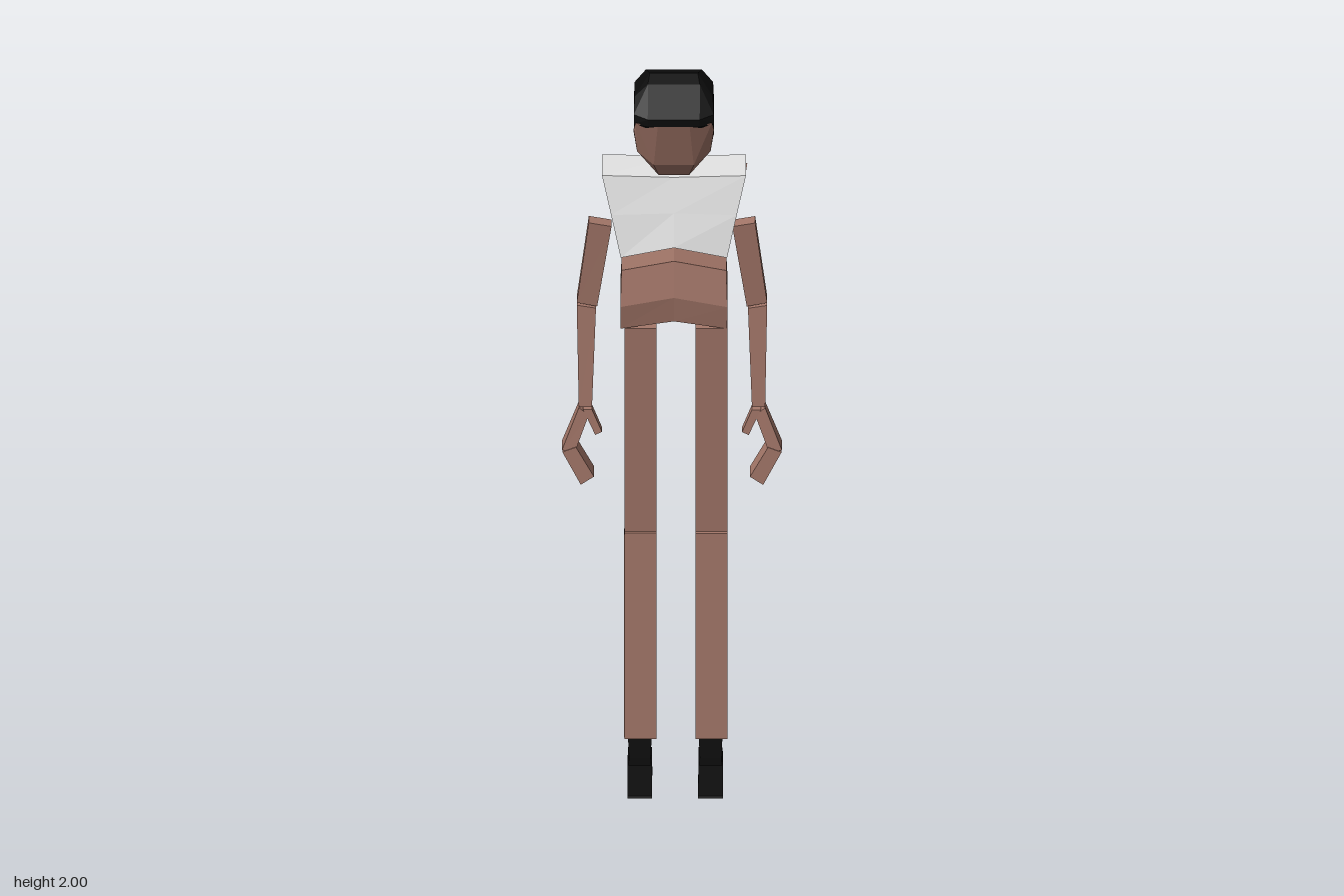
import * as THREE from 'three';
import { ConvexGeometry } from 'three/addons/geometries/ConvexGeometry.js';

const mat = (name, color) => {
  const m = new THREE.MeshStandardMaterial({ color });
  m.name = name;
  return m;
};

// Flat-faced loft through rings (bottom to top, counter-clockwise from above), capped at both ends
function loft(rings) {
  const pos = [];
  const tri = (a, b, c) => pos.push(...a, ...b, ...c);
  const n = rings[0].length;
  for (let r = 0; r < rings.length - 1; r++) {
    const a = rings[r], b = rings[r + 1];
    for (let i = 0; i < n; i++) {
      const j = (i + 1) % n;
      tri(a[i], a[j], b[j]);
      tri(a[i], b[j], b[i]);
    }
  }
  const lo = rings[0], hi = rings[rings.length - 1];
  for (let k = 2; k < n; k++) {
    const i = k % n, j = (k + 1) % n;
    tri(hi[1], hi[i], hi[j]);
    tri(lo[1], lo[j], lo[i]);
  }
  const g = new THREE.BufferGeometry();
  g.setAttribute('position', new THREE.Float32BufferAttribute(pos, 3));
  g.computeVertexNormals();
  return g;
}

// Four-cornered ring; yl and yr are the heights at x0 and x1
const rect = (x0, x1, z0, z1, yl, yr = yl) =>
  [[x0, yl, z1], [x1, yr, z1], [x1, yr, z0], [x0, yl, z0]];

// Six-cornered torso ring whose centre line is lifted by peak
const torsoRing = (w, zf, yf, zb, yb, peak, c = 0.005) => [
  [c - w, yf, zf], [c, yf + peak, zf], [c + w, yf, zf],
  [c + w, yb, zb], [c, yb + peak, zb], [c - w, yb, zb]];

// Mirrors rings across x and keeps their winding
const side = (s, rings) => s > 0 ? rings
  : rings.map(r => r.map(([x, y, z]) => [-x, y, z]).reverse());

export function createModel() {
  const model = new THREE.Group();
  const skin = mat('skin', 0xa5786a);
  const shirt = mat('shirt', 0xdcdcdc);
  const black = mat('black', 0x0b0b0b);
  const add = (name, geo, material, parent = model) => {
    const m = new THREE.Mesh(geo, material);
    m.name = name;
    parent.add(m);
    return m;
  };

  // Torso
  add('waist', loft([
    torsoRing(0.133, 0.028, 1.28, -0.125, 1.28, 0.02),
    torsoRing(0.134, 0.042, 1.345, -0.135, 1.345, 0.025),
    torsoRing(0.131, 0.03, 1.44, -0.127, 1.41, 0.025)]), skin);
  add('chest', loft([
    torsoRing(0.133, 0.033, 1.476, -0.127, 1.434, 0.027),
    torsoRing(0.157, 0.005, 1.58, -0.157, 1.587, 0.005),
    torsoRing(0.18, -0.025, 1.675, -0.147, 1.675, -0.005),
    torsoRing(0.18, -0.104, 1.697, -0.106, 1.697, -0.003)]), shirt);

  // Small patch of skin on the shoulder
  const patch = [[-0.074, 1.593], [-0.085, 1.582], [-0.106, 1.624], [-0.11, 1.672], [-0.09, 1.656]];
  const pts = [];
  for (const [z, y] of patch)
    for (const d of [-0.004, 0.004])
      pts.push(new THREE.Vector3(0.185 - (1.675 - y) * 0.23 + d, y, z));
  add('shoulderPatch', new ConvexGeometry(pts), skin);

  // Head: entries are half width, y, z
  const hull = list => new ConvexGeometry(list.flatMap(([w, y, z]) =>
    [-1, 1].map(s => new THREE.Vector3(0.005 + s * w, y, z))));
  const head = new THREE.Group();
  head.name = 'head';
  model.add(head);
  add('face', hull([
    [0.04, 1.9, 0.186], [0.095, 1.905, 0.174], [0.1005, 1.88, 0.155], [0.1005, 1.845, 0.09],
    [0.092, 1.81, 0.13], [0.087, 1.80, 0.05], [0.05, 1.775, 0.138], [0.038, 1.727, 0.09],
    [0.04, 1.75, 0.06], [0.06, 1.80, 0.02], [0.09, 1.9, 0.03]]), skin);
  add('hair', hull([
    [0.065, 1.9, 0.185], [0.065, 1.92, 0.186], [0.1, 1.9, 0.168], [0.1, 1.925, 0.165],
    [0.098, 1.955, 0.12], [0.065, 1.983, 0.11], [0.06, 1.999, 0.075], [0.098, 1.955, 0.03],
    [0.07, 1.978, 0.005], [0.09, 1.905, -0.032], [0.1, 1.9, 0], [0.1, 1.85, 0.12],
    [0.098, 1.815, 0.05], [0.08, 1.80, 0.015]]), black);

  for (const s of [-1, 1]) {
    const label = s > 0 ? 'left' : 'right';

    // Arm
    const arm = new THREE.Group();
    arm.name = label + 'Arm';
    model.add(arm);
    const limb = (name, rings) => add(name, loft(side(s, rings)), skin, arm);
    limb('upperArm', [
      rect(0.187, 0.238, -0.085, -0.042, 1.31, 1.32),
      rect(0.151, 0.208, -0.058, -0.015, 1.54, 1.55)]);
    limb('forearm', [
      rect(0.2, 0.233, -0.078, -0.037, 1.037),
      rect(0.19, 0.238, -0.085, -0.042, 1.305, 1.313)]);
    limb('palm', [
      rect(0.243, 0.275, -0.092, -0.032, 0.915, 0.922),
      rect(0.208, 0.233, -0.078, -0.037, 1.015, 1.035)]);
    limb('fingers', [
      rect(0.195, 0.228, -0.095, -0.03, 0.85, 0.828),
      rect(0.24, 0.274, -0.095, -0.03, 0.93, 0.917)]);
    limb('thumb', [
      rect(0.175, 0.192, -0.065, -0.035, 0.97, 0.962),
      rect(0.2, 0.222, -0.07, -0.037, 1.03)]);

    // Leg
    const c = 0.01 + s * 0.0885;
    const leg = new THREE.Group();
    leg.name = label + 'Leg';
    model.add(leg);
    add('thigh', loft([
      rect(c - 0.04, c + 0.04, -0.153, -0.027, 0.7),
      rect(c - 0.04, c + 0.04, -0.127, 0.027, 1.28)]), skin, leg);
    add('shin', loft([
      rect(c - 0.04, c + 0.04, -0.185, -0.038, 0.13),
      rect(c - 0.04, c + 0.04, -0.153, -0.036, 0.693)]), skin, leg);

    // Boot: wedge-shaped foot and ankle
    const b = 0.008 + s * 0.0885;
    add('foot', loft([
      rect(b - 0.031, b + 0.031, -0.148, 0.036, 0),
      [[b - 0.031, 0.006, 0.034], [b + 0.031, 0.006, 0.034],
        [b + 0.03, 0.06, -0.146], [b - 0.03, 0.06, -0.146]]]), black, leg);
    add('ankle', loft([
      rect(b - 0.03, b + 0.03, -0.147, -0.077, 0.02),
      rect(b - 0.027, b + 0.027, -0.143, -0.08, 0.06),
      rect(b - 0.03, b + 0.03, -0.146, -0.085, 0.122)]), black, leg);

    // Dark strip down the outer front of the right shin
    if (s < 0) add('shinStrip', new THREE.BoxGeometry(0.004, 0.555, 0.036)
      .translate(c - 0.04, 0.411, -0.056), black, leg);
  }
  return model;
}
